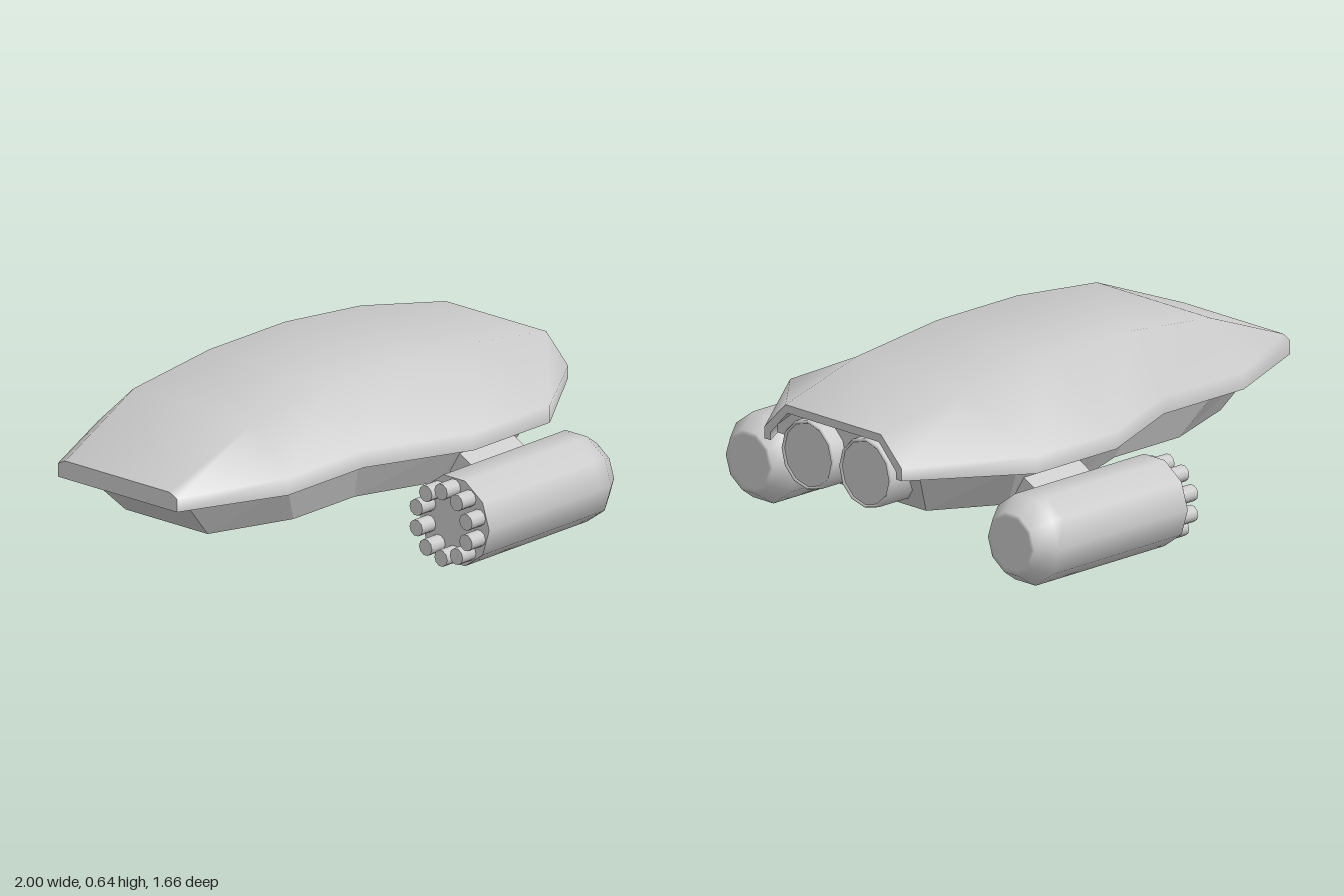
import * as THREE from 'three';

const grey = new THREE.MeshStandardMaterial({ color: 0xcccccc });
const greyThin = new THREE.MeshStandardMaterial({ color: 0xcccccc, side: THREE.DoubleSide });
const greyFlat = new THREE.MeshStandardMaterial({ color: 0xcccccc, side: THREE.DoubleSide, flatShading: true });

function mesh(name, geometry, material, parent) {
  const m = new THREE.Mesh(geometry, material);
  m.name = name;
  parent.add(m);
  return m;
}

function build(points, index) {
  const g = new THREE.BufferGeometry();
  g.setAttribute('position', new THREE.Float32BufferAttribute(points.flat(), 3));
  g.setIndex(index);
  g.computeVertexNormals();
  return g;
}

// Skin through a list of equally long cross-sections
function loft(rows, closed = false) {
  const n = rows[0].length, index = [];
  for (let i = 0; i < rows.length - 1; i++) {
    for (let j = 0; j < (closed ? n : n - 1); j++) {
      const k = (j + 1) % n;
      const a = i * n + j, b = a + n, c = (i + 1) * n + k, d = i * n + k;
      index.push(a, b, c, a, c, d);
    }
  }
  return build(rows.flat(), index);
}

// Flat polygon filled from its middle
function fan(ring) {
  const n = ring.length, mid = [0, 1, 2].map(k => ring.reduce((s, p) => s + p[k], 0) / n);
  const index = [];
  for (let j = 0; j < n; j++) index.push(n, j, (j + 1) % n);
  return build([...ring, mid], index);
}

// Turned part with its axis along x
function turned(profile, sides) {
  const pts = profile.map(([r, x]) => new THREE.Vector2(r, x));
  return new THREE.LatheGeometry(pts, sides).rotateZ(-Math.PI / 2);
}

const BASE = 0.375;
// Hull stations: x, half width, rim height, half width of roof, roof height
const stations = [
  [-1, 0.285, 0.425, 0.25, 0.442],
  [-0.6, 0.455, 0.44, 0.285, 0.602],
  [-0.2, 0.455, 0.44, 0.285, 0.645],
  [0.2, 0.62, 0.44, 0.285, 0.645],
  [0.6, 0.62, 0.44, 0.285, 0.602],
  [1, 0.345, 0.42, 0.24, 0.525],
];
const section = ([x, w, rim, tw, top]) => [
  [x, BASE, w], [x, rim, w], [x, top, tw],
  [x, top, -tw], [x, rim, -w], [x, BASE, -w],
];

function hull() {
  const g = new THREE.Group();
  g.name = 'hull';
  mesh('upperShell', loft(stations.map(section)), grey, g);
  mesh('noseFace', fan(section(stations[0])), greyThin, g);

  // Open tail with a thick lip and a recessed wall
  const lip = section([1, 0.315, 0.405, 0.23, 0.495]);
  const wall = section([0.92, 0.36, 0.405, 0.235, 0.505]);
  mesh('tailLip', loft([section(stations[5]), lip]), greyThin, g);
  mesh('tailRecess', loft([wall, lip]), greyThin, g);
  mesh('tailWall', fan(wall), greyThin, g);

  // Underside outline, stopping at the recess
  const side = stations.map(s => [s[0], s[1]]);
  side[5] = [0.92, 0.4];
  const ring = (y, fx, fz) => [
    ...side.map(([x, z]) => [fx(x), y, z * fz]),
    ...side.slice().reverse().map(([x, z]) => [fx(x), y, -z * fz]),
  ];
  mesh('shellFloor', fan(ring(BASE, x => x, 1)), greyFlat, g);

  // Tapered lower body
  const stretch = (a, b) => x => a + (b - a) * (x + 1) / 1.92;
  const top = ring(BASE, stretch(-0.91, 0.91), 0.855);
  const bottom = ring(0.205, stretch(-0.74, 0.81), 0.69);
  mesh('lowerBody', loft([bottom, top], true), greyFlat, g);
  mesh('lowerBodyBottom', fan(bottom), greyFlat, g);
  return g;
}

function pod(s) {
  const g = new THREE.Group();
  g.name = s > 0 ? 'frontPod' : 'backPod';

  const body = new THREE.Group();
  body.name = 'podBody';
  body.position.set(0, 0.16, s * 0.66);
  g.add(body);
  mesh('podCasing', turned([
    [0.168, 0.05], [0.168, 0.1], [0.168, 0.64], [0.168, 0.695],
    [0.118, 0.765], [0.1, 0.765], [0, 0.765],
  ], 10), grey, body);
  mesh('podEndPlate', new THREE.CircleGeometry(0.168, 10).rotateY(-Math.PI / 2), greyThin, body).position.x = 0.05;

  // Ring of short barrels
  for (let i = 0; i < 10; i++) {
    const a = (i + 0.5) / 10 * Math.PI * 2;
    const barrel = new THREE.CylinderGeometry(0.031, 0.031, 0.09, 10).rotateZ(Math.PI / 2);
    mesh('barrel', barrel, grey, body).position.set(0.025, Math.sin(a) * 0.125, Math.cos(a) * 0.125);
  }

  // Sloping arm to the hull
  const arm = mesh('podArm', new THREE.BoxGeometry(0.28, 0.09, 0.3), grey, g);
  arm.position.set(0.4, 0.26, s * 0.51);
  arm.rotation.x = s * 0.5;
  return g;
}

export function createModel() {
  const model = new THREE.Group();
  model.name = 'spacecraft';
  model.add(hull());
  for (const s of [1, -1]) {
    model.add(pod(s));
    // Tail engine with a shallow rim
    const engine = new THREE.Group();
    engine.name = 'tailEngine';
    engine.position.set(0, 0.355, s * 0.145);
    model.add(engine);
    mesh('engineCasing', turned([[0.13, 0.72], [0.13, 0.98], [0.125, 0.99], [0.118, 0.982]], 12), greyThin, engine);
    mesh('engineFace', new THREE.CircleGeometry(0.122, 12).rotateY(Math.PI / 2), grey, engine).position.x = 0.982;
  }
  return model;
}
